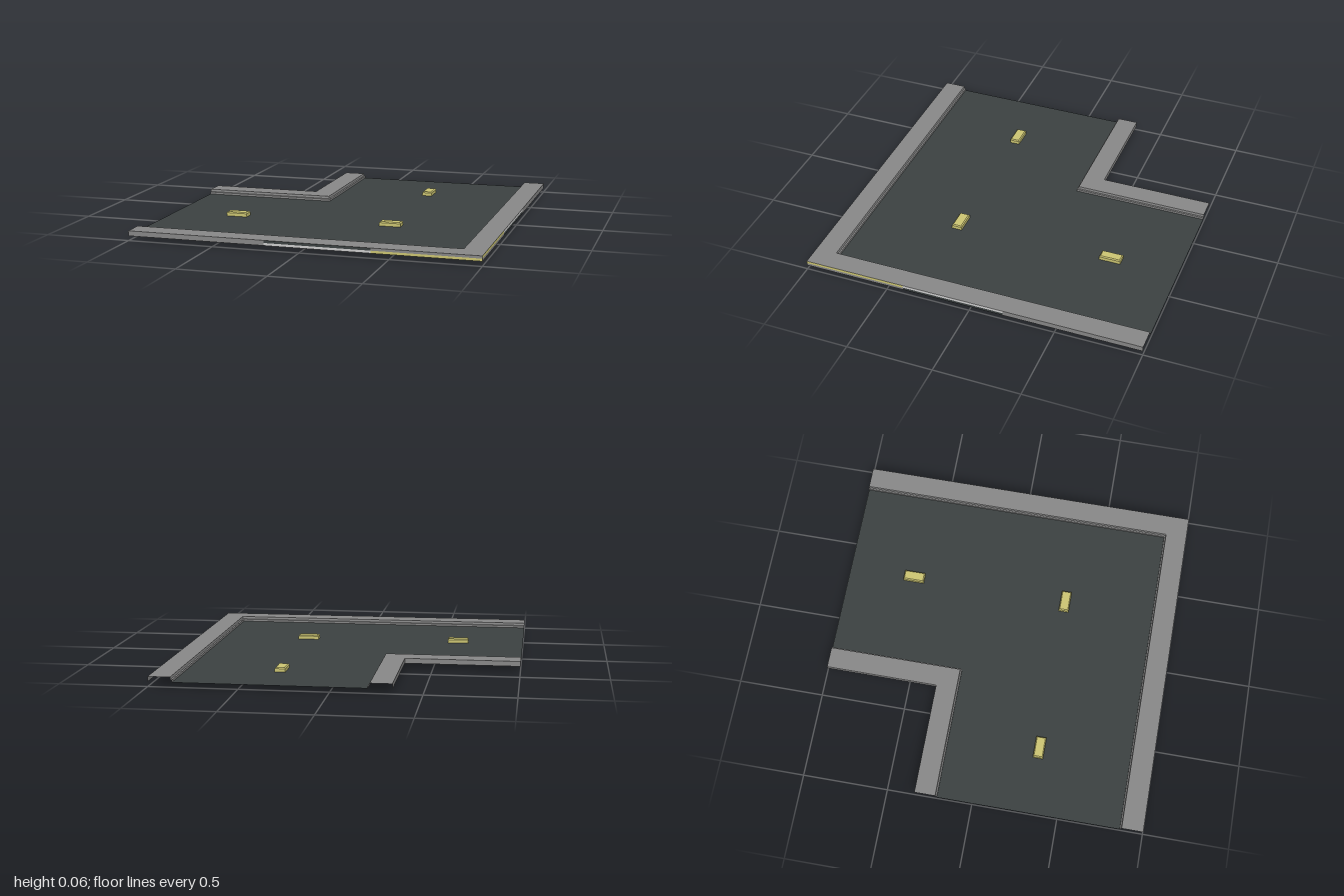
import * as THREE from 'three';

const TOP = 0.056, MID = 0.0415, FLOOR = 0.027;

function material(name, color, side = THREE.DoubleSide) {
  const m = new THREE.MeshStandardMaterial({ color, side });
  m.name = name;
  return m;
}

// Sweeps a [q, y] section round an L: (-1, q) -> (q, q) -> (q, -1) in plan
function mitredKerb(section) {
  const pos = [];
  const rail = ([q, y]) => [[-1, y, q], [q, y, q], [q, y, -1]];
  for (let i = 0; i < section.length - 1; i++) {
    const a = rail(section[i]), b = rail(section[i + 1]);
    for (let k = 0; k < 2; k++) {
      for (const p of [a[k], a[k + 1], b[k + 1], a[k], b[k + 1], b[k]]) pos.push(...p);
    }
  }
  const g = new THREE.BufferGeometry();
  g.setAttribute('position', new THREE.Float32BufferAttribute(pos, 3));
  g.computeVertexNormals();
  return g;
}

// Block whose top and bottom taper in slightly
function reflectorGeometry(w, d) {
  const h = 0.052, bevel = 0.006;
  const g = new THREE.BoxGeometry(w, h, d, 1, 3, 1).toNonIndexed();
  const p = g.attributes.position;
  for (let i = 0; i < p.count; i++) {
    const y = p.getY(i);
    if (Math.abs(y) > h * 0.4) {
      p.setX(i, p.getX(i) - Math.sign(p.getX(i)) * bevel);
      p.setZ(i, p.getZ(i) - Math.sign(p.getZ(i)) * bevel);
    } else {
      p.setY(i, Math.sign(y) * (h / 2 - bevel));
    }
  }
  g.computeVertexNormals();
  return g.translate(0, h / 2, 0);
}

export function createModel() {
  const model = new THREE.Group();
  model.name = 'roadCorner';
  const asphalt = material('asphalt', 0x3c4242);
  const concrete = material('concrete', 0x888888);
  const yellow = material('yellow', 0xcdc673);
  const pale = material('paleGrey', 0xd0d0d0);

  const add = (parent, name, geometry, mat) => {
    const mesh = new THREE.Mesh(geometry, mat);
    mesh.name = name;
    parent.add(mesh);
    return mesh;
  };

  // L-shaped road surface
  const outline = [[-1, -0.865], [0.865, -0.865], [0.865, 1], [-0.205, 1], [-0.205, 0.205], [-1, 0.205]];
  const road = new THREE.Shape(outline.map(([x, y]) => new THREE.Vector2(x, y)));
  add(model, 'roadSurface', new THREE.ShapeGeometry(road).rotateX(-Math.PI / 2).translate(0, FLOOR, 0), asphalt);

  // Open kerbs; the outer one gets its skirt from the panels below
  add(model, 'outerKerb', mitredKerb([[1, TOP], [0.875, TOP], [0.873, MID], [0.865, MID - 0.002], [0.865, FLOOR]]), concrete);
  add(model, 'innerKerb', mitredKerb([
    [-0.205, FLOOR], [-0.205, MID - 0.002], [-0.213, MID], [-0.215, TOP], [-0.337, TOP], [-0.337, FLOOR],
  ]), concrete);

  // Painted outer skirts: [start, end, upper colour, lower colour]
  const skirt = (name, panels) => {
    const group = new THREE.Group();
    group.name = name;
    for (const [a, b, upper, lower] of panels) {
      for (const [label, y0, y1, mat] of [['upperPanel', MID, TOP, upper], ['lowerPanel', FLOOR, MID, lower]]) {
        add(group, label, new THREE.PlaneGeometry(b - a, y1 - y0).translate((a + b) / 2, (y0 + y1) / 2, 1), mat);
      }
    }
    model.add(group);
    return group;
  };
  skirt('frontSkirt', [
    [-1, -0.2, concrete, concrete], [-0.2, 0.4, asphalt, pale], [0.4, 1, concrete, yellow],
  ]);
  skirt('sideSkirt', [
    [-1, -0.4, yellow, concrete], [-0.4, 0.2, pale, asphalt], [0.2, 1, concrete, concrete],
  ]).rotation.y = Math.PI / 2;

  // Lane reflectors set through the surface
  for (const [x, z, w, d] of [[-0.603, 0.332, 0.126, 0.06], [0.332, 0.332, 0.126, 0.06], [0.332, -0.603, 0.06, 0.126]]) {
    add(model, 'laneReflector', reflectorGeometry(w, d), yellow).position.set(x, 0, z);
  }
  return model;
}
